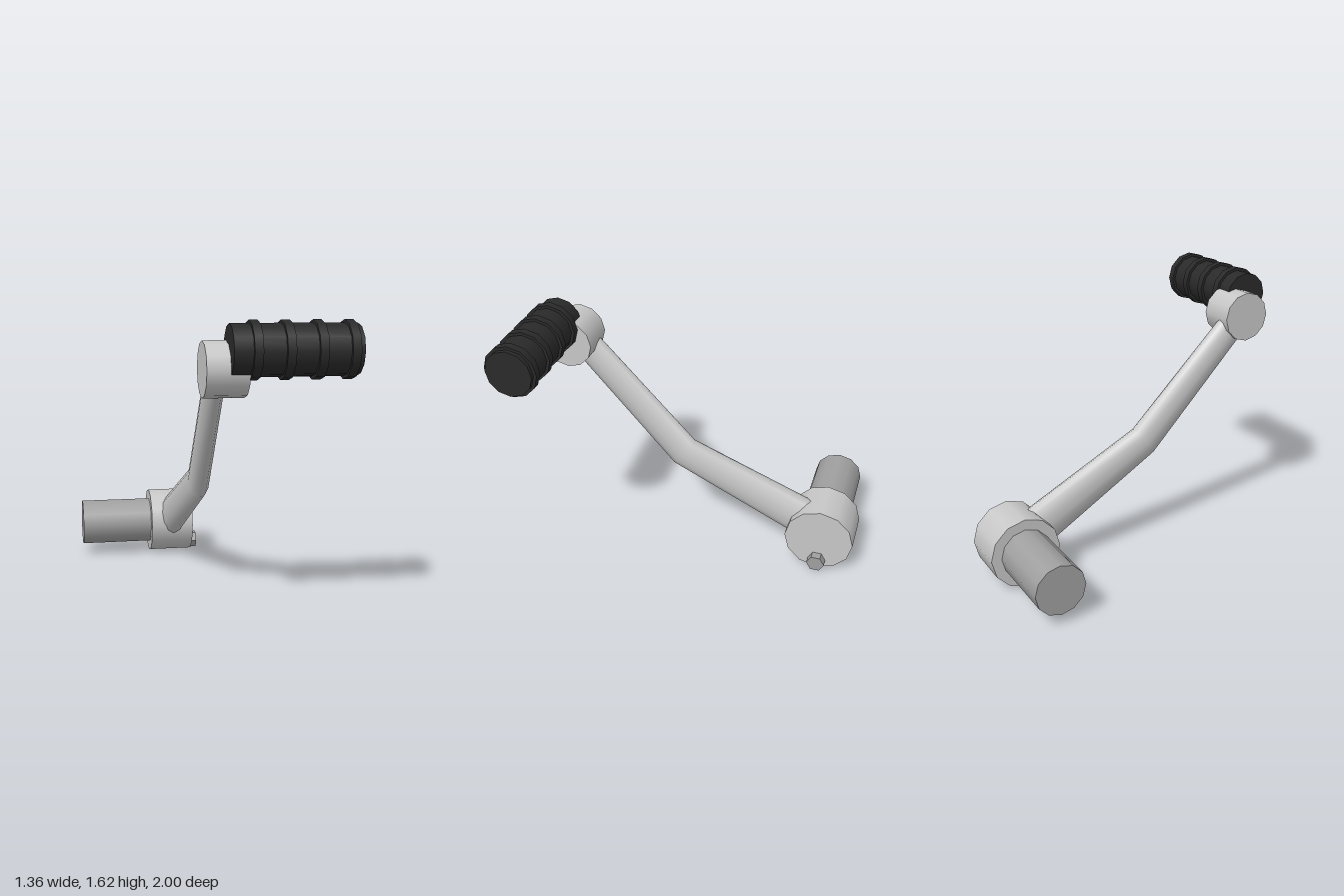
import * as THREE from 'three';

const mat = (name, color) => {
  const m = new THREE.MeshStandardMaterial({ color });
  m.name = name;
  return m;
};

export function createModel() {
  const model = new THREE.Group();
  model.name = 'pedalLever';
  const castMetal = mat('light cast metal', 0xc8c8c8);
  const steel = mat('grey steel', 0xa0a0a0);
  const rubber = mat('black rubber', 0x2a2a2a);

  // Cylinder lying along x, from x0 to x1, centred on (y, z)
  function rod(name, material, x0, x1, y, z, radius, sides = 12) {
    const geometry = new THREE.CylinderGeometry(radius, radius, x1 - x0, sides);
    geometry.rotateZ(-Math.PI / 2);
    if (sides < 8) {
      geometry.deleteAttribute('normal');
    }
    const flat = sides < 8 ? geometry.toNonIndexed() : geometry;
    if (sides < 8) flat.computeVertexNormals();
    const mesh = new THREE.Mesh(flat, material);
    mesh.name = name;
    mesh.position.set((x0 + x1) / 2, y, z);
    model.add(mesh);
  }

  // Pivot hub with its shaft and clamp bolt
  rod('pivotHub', castMetal, -0.225, 0.05, 0.215, -0.79, 0.212);
  rod('pivotShaft', steel, -0.68, -0.22, 0.215, -0.79, 0.15);
  rod('clampBolt', steel, 0.04, 0.1, 0.065, -0.79, 0.055, 6);

  // Upper hub and ribbed grip
  rod('gripHub', castMetal, -0.125, 0.1, 1.371, 0.767, 0.149);
  rod('grip', rubber, 0, 0.675, 1.472, 0.846, 0.137);
  for (let i = 0; i < 4; i++) {
    const x = 0.1 + i * 0.168;
    rod('gripRib' + (i + 1), rubber, x, x + 0.046, 1.472, 0.846, 0.154);
  }

  // Bent, tapering arm with an oval section; n is the section's long axis
  const sections = [
    { c: [-0.088, 0.213, -0.79], n: [0, 0.895, -0.447], h: 0.14, w: 0.082 },
    { c: [-0.028, 0.658, 0.095], n: [0, 0.8, -0.6], h: 0.109, w: 0.063 },
    { c: [-0.051, 1.371, 0.767], n: [0, 0.686, -0.728], h: 0.092, w: 0.056 },
  ];
  const sides = 12;
  const positions = [];
  const index = [];
  sections.forEach(({ c, n, h, w }, s) => {
    for (let i = 0; i < sides; i++) {
      const a = (i / sides) * Math.PI * 2;
      const u = h * Math.cos(a);
      positions.push(c[0] - w * Math.sin(a), c[1] + n[1] * u, c[2] + n[2] * u);
      if (s < sections.length - 1) {
        const p = s * sides + i;
        const q = s * sides + ((i + 1) % sides);
        index.push(p, q, q + sides, p, q + sides, p + sides);
      }
    }
  });
  const armGeometry = new THREE.BufferGeometry();
  armGeometry.setAttribute('position', new THREE.Float32BufferAttribute(positions, 3));
  armGeometry.setIndex(index);
  armGeometry.computeVertexNormals();
  const arm = new THREE.Mesh(armGeometry, castMetal);
  arm.name = 'arm';
  model.add(arm);

  return model;
}
